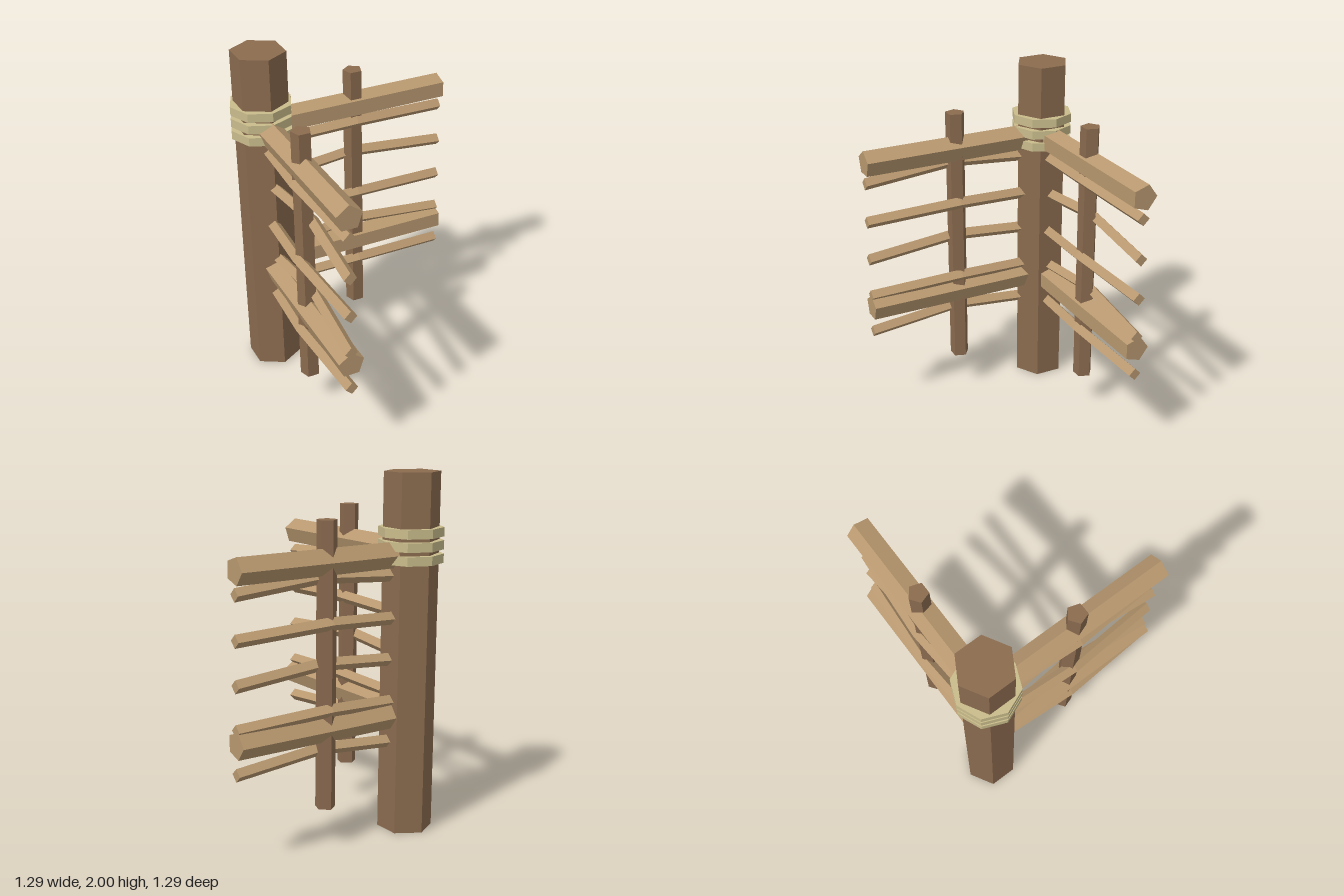
import * as THREE from 'three';

const C = -0.47;            // corner post centre on x and z
const END = 0.643;          // free end of rails and slats
const MID = (C + END) / 2;  // stake position along a rail
const LEN = END - C;

function flat(name, color) {
  const m = new THREE.MeshStandardMaterial({ color, flatShading: true });
  m.name = name;
  return m;
}

export function createModel() {
  const group = new THREE.Group();
  const dark = flat('darkWood', 0x8b6b4f);
  const light = flat('lightWood', 0xb8986f);
  const rope = flat('rope', 0xc9bc8b);

  function add(name, geometry, material, x, y, z) {
    const mesh = new THREE.Mesh(geometry, material);
    mesh.name = name;
    mesh.position.set(x, y, z);
    group.add(mesh);
  }

  const prism = (r, h, sides, rows = 1) => new THREE.CylinderGeometry(r, r, h, sides, rows);

  // Hexagonal corner post
  add('cornerPost', prism(0.154, 2, 6), dark, C, 1, C);

  // Three rope turns around the post
  for (const y of [1.537, 1.61, 1.68]) add('ropeTurn', prism(0.178, 0.05, 8), rope, C, y, C);

  // One upright stake on each side
  for (const [x, z] of [[MID, C], [C, MID]]) {
    add('stake', prism(0.056, 1.553, 5).rotateY(Math.PI), dark, x, 1.002, z);
  }

  // Two heavy rails on each side
  for (const y of [0.67, 1.563]) {
    add('sideRail', prism(0.075, LEN, 5).rotateX(-Math.PI / 2), light, C, y, MID);
    add('backRail', prism(0.075, LEN, 5).rotateY(Math.PI).rotateZ(Math.PI / 2), light, MID, y, C);
  }

  // Thin square slat, bent up and sideways at its middle ring
  function slat(axis, sideways) {
    const g = prism(0.036, LEN, 4, 2);
    if (axis === 'x') g.rotateZ(Math.PI / 2);
    else g.rotateX(-Math.PI / 2);
    const p = g.attributes.position;
    for (let i = 0; i < p.count; i++) {
      const along = axis === 'x' ? p.getX(i) : p.getZ(i);
      if (Math.abs(along) > 0.1) continue;
      p.setY(i, p.getY(i) + 0.031);
      if (axis === 'x') p.setZ(i, p.getZ(i) + sideways);
      else p.setX(i, p.getX(i) + sideways);
    }
    g.computeVertexNormals();
    return g;
  }

  // Five slats per side, woven alternately around the stakes
  for (let i = 0; i < 5; i++) {
    const y = 0.512 + i * 0.2328;
    const bow = i % 2 ? -0.042 : 0.042;
    add('backSlat', slat('x', bow), light, MID, y, C);
    add('sideSlat', slat('z', -bow), light, C, y, MID);
  }

  return group;
}
